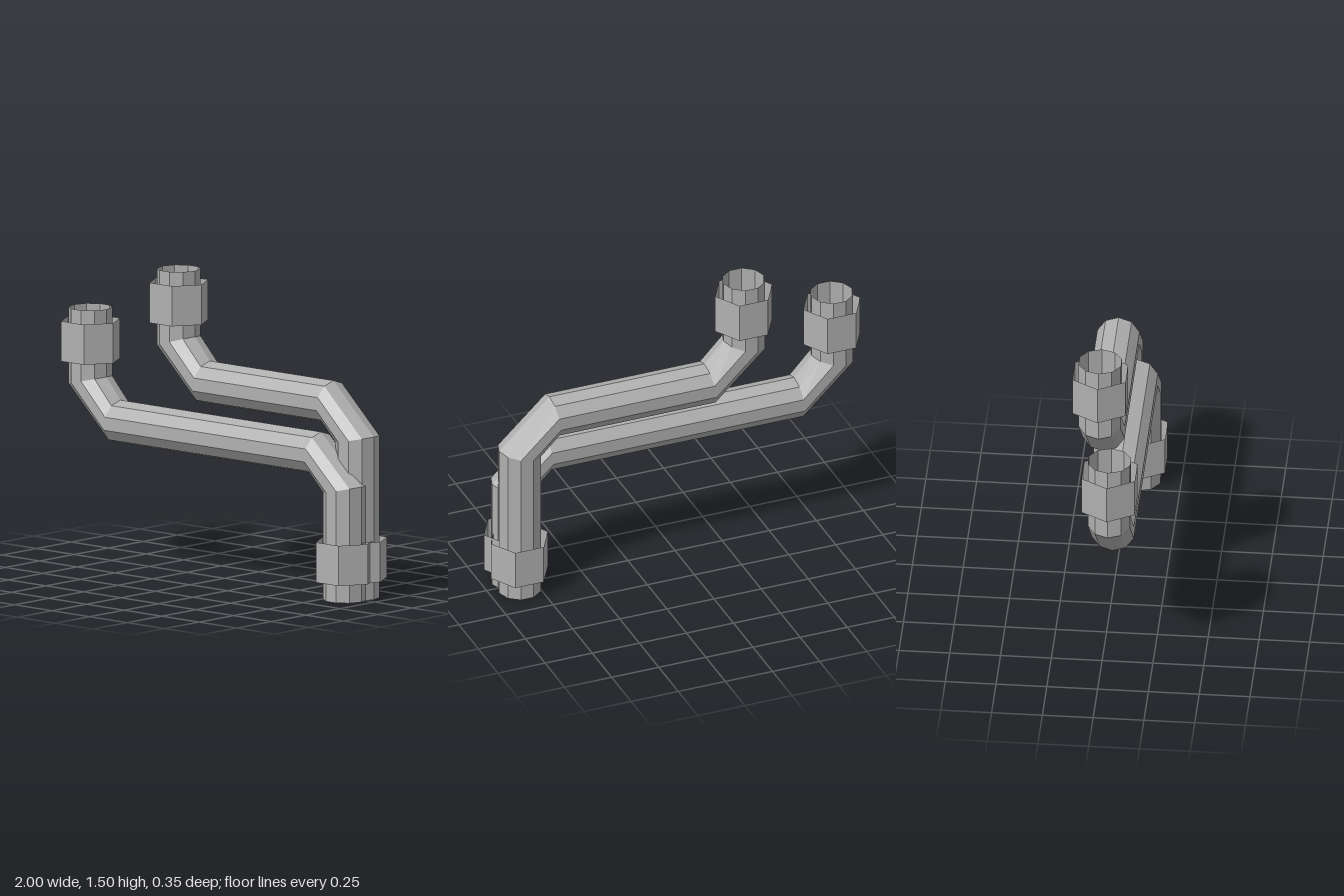
import * as THREE from 'three';

const SIDES = 10;      // facets round each pipe
const PIPE_R = 0.109;
const NUT_R = 0.151;

const steel = new THREE.MeshStandardMaterial({ color: 0xb0b0b0, side: THREE.DoubleSide });
steel.name = 'steel grey';

// Faceted open pipe. Each ring is [ax, ay, bx, by]: its two extreme points in the plane of the bends.
function pipeGeometry(rings) {
  const point = ([ax, ay, bx, by], j) => {
    const a = (j / SIDES) * Math.PI * 2;
    const c = Math.cos(a) / 2;
    return [(ax + bx) / 2 + (ax - bx) * c, (ay + by) / 2 + (ay - by) * c, PIPE_R * Math.sin(a)];
  };
  const pos = [];
  for (let i = 0; i < rings.length - 1; i++) {
    for (let j = 0; j < SIDES; j++) {
      const a = point(rings[i], j), b = point(rings[i + 1], j);
      const c = point(rings[i + 1], j + 1), d = point(rings[i], j + 1);
      pos.push(...a, ...b, ...c, ...a, ...c, ...d);
    }
  }
  const geo = new THREE.BufferGeometry();
  geo.setAttribute('position', new THREE.Float32BufferAttribute(pos, 3));
  geo.computeVertexNormals();
  return geo;
}

// Open hexagonal sleeve with flat faces
function nutGeometry() {
  const geo = new THREE.CylinderGeometry(NUT_R, NUT_R, 0.2, 6, 1, true, Math.PI / 2).toNonIndexed();
  geo.computeVertexNormals();
  return geo;
}

// One pipe run with a coupling nut near each end
function pipeRun(name, z, rings, nuts) {
  const run = new THREE.Group();
  run.name = name;
  run.position.z = z;
  const pipe = new THREE.Mesh(pipeGeometry(rings), steel);
  pipe.name = 'pipe';
  run.add(pipe);
  for (const [nutName, x, y] of nuts) {
    const nut = new THREE.Mesh(nutGeometry(), steel);
    nut.name = nutName;
    nut.position.set(x, y, 0);
    run.add(nut);
  }
  return run;
}

export function createModel() {
  const model = new THREE.Group();
  model.name = 'pipes';

  // Lower run, in front
  model.add(pipeRun('frontPipe', 0.045, [
    [0.953, 0, 0.737, 0],
    [0.953, 0.573, 0.737, 0.525],
    [0.685, 0.816, 0.66, 0.604],
    [-0.65, 0.816, -0.675, 0.604],
    [-0.743, 0.92, -0.957, 0.87],
    [-0.743, 1.256, -0.957, 1.256],
  ], [['lowerNut', 0.845, 0.193], ['upperNut', -0.85, 1.093]]));

  // Higher and shorter run, behind
  model.add(pipeRun('backPipe', -0.045, [
    [0.953, 0, 0.737, 0],
    [0.953, 0.81, 0.737, 0.765],
    [0.685, 1.06, 0.655, 0.848],
    [-0.137, 1.06, -0.173, 0.848],
    [-0.238, 1.168, -0.452, 1.108],
    [-0.238, 1.496, -0.452, 1.496],
  ], [['lowerNut', 0.845, 0.193], ['upperNut', -0.345, 1.333]]));

  return model;
}
